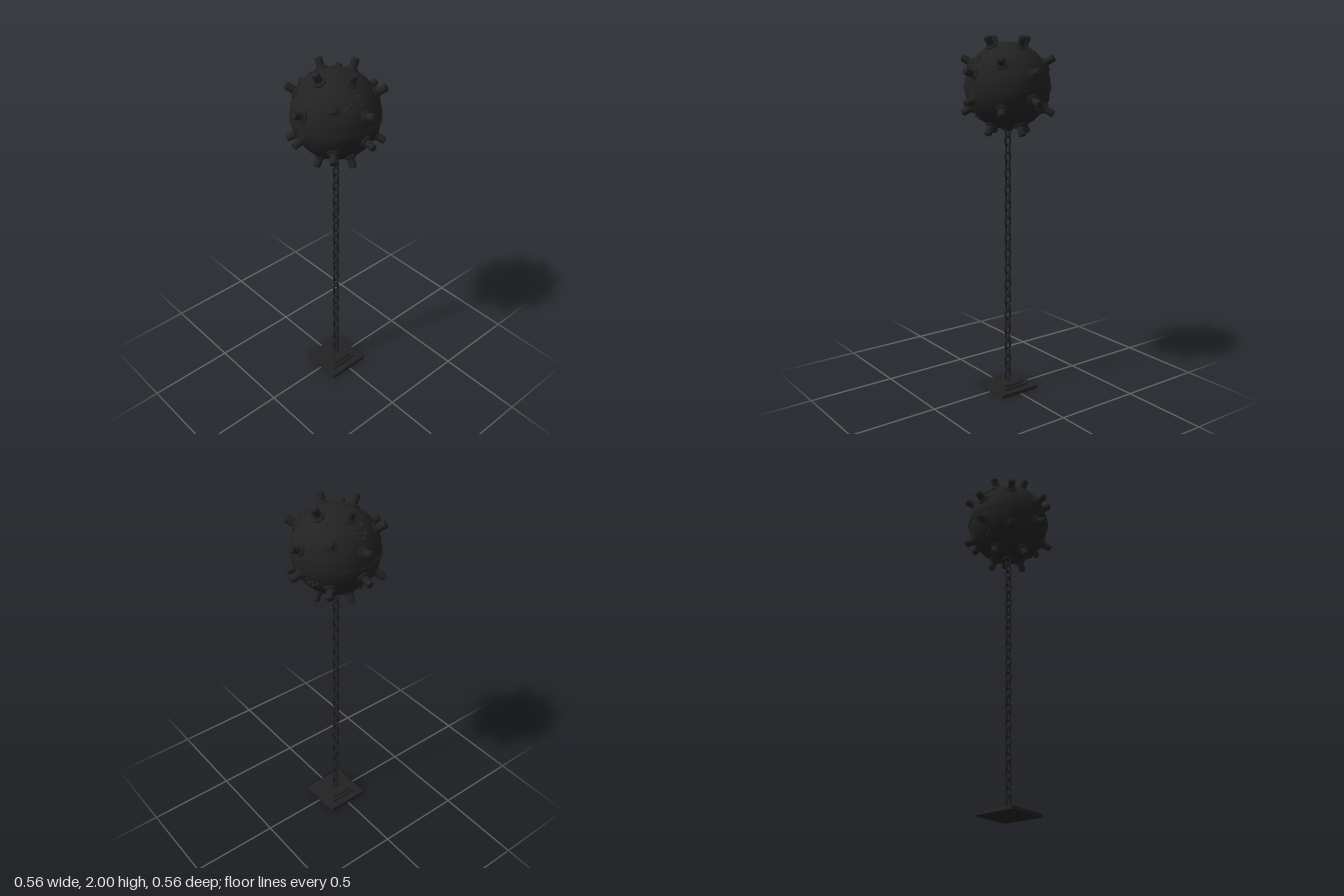
import * as THREE from 'three';

const R = 0.232;      // hull radius
const CY = 1.733;     // hull centre height
const UP = new THREE.Vector3(0, 1, 0);

const iron = new THREE.MeshStandardMaterial({ color: 0x222222 });
const chainIron = new THREE.MeshStandardMaterial({ color: 0x202024 });
const shell = new THREE.MeshStandardMaterial({ color: 0x262626 });

function add(parent, name, geometry, material, x = 0, y = 0, z = 0) {
  const mesh = new THREE.Mesh(geometry, material);
  mesh.name = name;
  mesh.position.set(x, y, z);
  parent.add(mesh);
  return mesh;
}

// Unit direction from elevation and azimuth in degrees (azimuth 0 = +z, 90 = +x)
function direction(elevation, azimuth) {
  const e = THREE.MathUtils.degToRad(elevation), a = THREE.MathUtils.degToRad(azimuth);
  return new THREE.Vector3(Math.cos(e) * Math.sin(a), Math.sin(e), Math.cos(e) * Math.cos(a));
}

function lathe(points, sides) {
  return new THREE.LatheGeometry(points.map(p => new THREE.Vector2(p[0], p[1])), sides);
}

// Horn: stepped flange with a ring of rivets and a rounded rod, built along +y from the hull centre
function makeHorn(parts) {
  const horn = new THREE.Group();
  horn.name = 'horn';
  add(horn, 'hornFlange', parts.flange, iron);
  add(horn, 'hornRod', parts.rod, iron);
  for (let i = 0; i < 10; i++) {
    const a = i / 10 * Math.PI * 2;
    add(horn, 'flangeRivet', parts.rivet, iron, Math.cos(a) * 0.029, 0.236, Math.sin(a) * 0.029);
  }
  return horn;
}

// Cluster of barnacles; each item is [elevation, azimuth, size]
function addBarnacles(parent, geometry, items) {
  const cluster = new THREE.Group();
  cluster.name = 'barnacleCluster';
  for (const [el, az, size] of items) {
    const d = direction(el, az);
    const b = add(cluster, 'barnacle', geometry, shell);
    b.position.copy(d).multiplyScalar(R - 0.001);
    b.quaternion.setFromUnitVectors(UP, d);
    b.scale.set(size, size * 0.8, size * 0.85);
  }
  parent.add(cluster);
}

// Stadium-shaped chain link in the xy plane
function linkGeometry(halfWidth, halfHeight, wire) {
  const points = [], straight = halfHeight - halfWidth;
  for (let i = 0; i < 16; i++) {
    const a = (i + 0.5) / 16 * Math.PI * 2;
    points.push(new THREE.Vector3(Math.cos(a) * halfWidth, Math.sin(a) * halfWidth + Math.sign(Math.sin(a)) * straight, 0));
  }
  return new THREE.TubeGeometry(new THREE.CatmullRomCurve3(points, true), 28, wire, 8, true);
}

export function createModel() {
  const model = new THREE.Group();
  model.name = 'mooredMine';

  // Hull with equatorial seam
  const mine = new THREE.Group();
  mine.name = 'mine';
  mine.position.y = CY;
  model.add(mine);
  add(mine, 'hull', new THREE.SphereGeometry(R, 32, 24), iron);
  const seamY = -0.008;
  add(mine, 'seamBand', new THREE.CylinderGeometry(0.2345, 0.2345, 0.026, 32), iron, 0, seamY, 0);
  add(mine, 'seamRidge', new THREE.CylinderGeometry(0.2365, 0.2365, 0.004, 32), iron, 0, seamY, 0);
  const rivet = new THREE.SphereGeometry(0.0028, 6, 4);
  for (let i = 0; i < 48; i++) {
    const a = i / 48 * Math.PI * 2;
    for (const y of [seamY - 0.008, seamY + 0.008])
      add(mine, 'seamRivet', rivet, iron, Math.cos(a) * 0.234, y, Math.sin(a) * 0.234);
  }

  // Horns in three rings, mirrored above and below the seam
  const parts = {
    flange: lathe([[0.035, 0.215], [0.035, 0.234], [0.033, 0.236], [0.026, 0.236], [0.026, 0.239], [0.024, 0.242], [0.018, 0.242]], 18),
    rod: lathe([[0.02, 0.22], [0.02, 0.283], [0.0192, 0.287], [0.016, 0.2905], [0, 0.291]], 16),
    rivet: new THREE.SphereGeometry(0.0026, 6, 4),
  };
  const rings = [[62.5, 0], [17, 0], [31, 45]];
  for (const [elevation, start] of rings)
    for (const side of [1, -1])
      for (let i = 0; i < 4; i++) {
        const horn = makeHorn(parts);
        horn.quaternion.setFromUnitVectors(UP, direction(side * elevation, start + i * 90));
        mine.add(horn);
      }

  // Barnacle growth
  const barnacle = lathe([[0.0115, -0.004], [0.0115, 0.003], [0.009, 0.009], [0.006, 0.0105], [0.004, 0.008], [0, 0.007]], 9);
  addBarnacles(mine, barnacle, [[37, 194, 1.3], [48, 197, 1.3], [35, 177, 0.9], [33, 186, 0.9], [47, 184, 0.9], [42, 176, 0.8], [40, 187, 0.7]]);
  addBarnacles(mine, barnacle, [[32, -25, 1], [27, -20, 0.9], [29, -28, 0.8], [35, -19, 0.9], [32, -15, 0.7], [25, -26, 0.7]]);
  addBarnacles(mine, barnacle, [[40, -4, 0.9], [36, 2, 0.9], [33, -3, 0.8], [43, -1, 0.7], [37, -6, 0.6]]);
  addBarnacles(mine, barnacle, [[-25, 106, 1.1], [-22, 111, 0.9], [-29, 110, 0.9], [-20, 102, 0.8], [-27, 100, 0.9], [-24, 117, 1], [-31, 104, 0.7]]);
  addBarnacles(mine, barnacle, [[-38, 182, 1], [-42, 187, 0.9], [-35, 188, 0.8], [-41, 177, 0.8]]);
  addBarnacles(mine, barnacle, [[-42, -20, 1], [-45, -14, 0.9], [-38, -15, 0.8], [-47, -22, 0.8]]);

  // Mooring boss under the hull
  add(mine, 'mooringBoss', new THREE.CylinderGeometry(0.032, 0.026, 0.018, 16), iron, 0, -0.232, 0);

  // Chain: alternate links turned a quarter
  const chain = new THREE.Group();
  chain.name = 'chain';
  model.add(chain);
  const link = linkGeometry(0.0155, 0.0275, 0.0058);
  for (let i = 0; i < 32; i++) {
    const mesh = add(chain, 'chainLink', link, chainIron, 0, 0.079 + i * 0.0453, 0);
    mesh.rotation.y = i % 2 ? 0 : Math.PI / 2;
  }

  // Anchor: stepped square plates, corner bolts and shackle
  const anchor = new THREE.Group();
  anchor.name = 'anchor';
  model.add(anchor);
  const plate = (name, bottom, top, y, height) => {
    const g = new THREE.CylinderGeometry(top * Math.SQRT2, bottom * Math.SQRT2, height, 4).rotateY(Math.PI / 4).toNonIndexed();
    g.computeVertexNormals();
    add(anchor, name, g, iron, 0, y + height / 2, 0);
  };
  plate('basePlate', 0.126, 0.123, 0, 0.018);
  plate('middlePlate', 0.084, 0.08, 0.018, 0.011);
  plate('topPlate', 0.066, 0.062, 0.029, 0.011);
  const bolt = new THREE.CylinderGeometry(0.006, 0.006, 0.006, 6);
  for (const x of [-1, 1])
    for (const z of [-1, 1])
      add(anchor, 'cornerBolt', bolt, iron, x * 0.052, 0.042, z * 0.052);
  add(anchor, 'shackle', new THREE.TorusGeometry(0.0155, 0.0058, 8, 20), chainIron, 0, 0.042, 0);
  for (const [x, y, z, s] of [[-0.075, 0.031, 0.04, 1], [-0.07, 0.031, 0.06, 0.8], [-0.05, 0.041, 0.025, 0.7], [-0.09, 0.02, 0.075, 0.9], [0.03, 0.031, -0.074, 0.9], [0.05, 0.02, -0.095, 0.8]])
    add(anchor, 'anchorBarnacle', barnacle, shell, x, y, z).scale.setScalar(s);

  return model;
}
